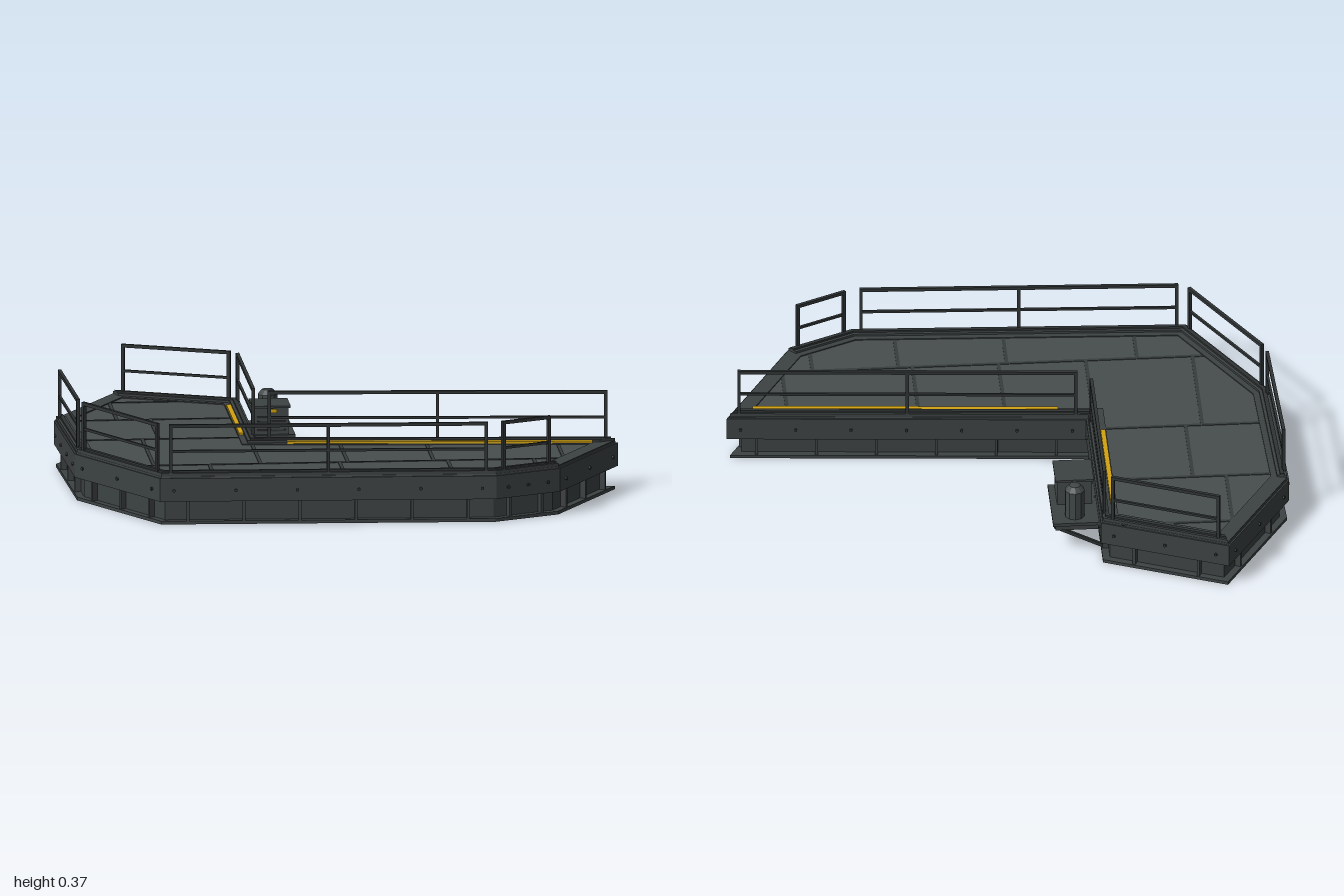
import * as THREE from 'three';

const mat = (name, color) => {
  const m = new THREE.MeshStandardMaterial({ color });
  m.name = name;
  return m;
};

export function createModel() {
  const model = new THREE.Group();
  model.name = 'workPlatform';
  const deckGrey = mat('deckGrey', 0x484d4e);
  const frameGrey = mat('frameGrey', 0x3d4243);
  const railGrey = mat('railGrey', 0x303435);
  const seamGrey = mat('seamGrey', 0x363b3b);
  const unitGrey = mat('unitGrey', 0x424849);
  const yellow = mat('safetyYellow', 0xd2a312);

  // Plan outline as [x, z]
  const outline = [[-0.745, -0.783], [-0.297, -0.592], [-0.297, 0.113], [0.992, 0.216], [0.742, 0.66],
    [0.502, 0.773], [-0.706, 0.714], [-0.972, 0.25], [-0.994, -0.35]];
  const N = outline.length;
  const unit = (a, b) => {
    const l = Math.hypot(b[0] - a[0], b[1] - a[1]);
    return [(b[0] - a[0]) / l, (b[1] - a[1]) / l, l];
  };

  // Outline moved inwards by d with mitred corners
  const inset = d => outline.map((p, i) => {
    const u = unit(outline[(i + N - 1) % N], p), v = unit(p, outline[(i + 1) % N]);
    const k = d / (1 + u[0] * v[0] + u[1] * v[1]);
    return [p[0] - (u[1] + v[1]) * k, p[1] + (u[0] + v[0]) * k];
  });

  const add = (name, geo, material, parent = model) => {
    const mesh = new THREE.Mesh(geo, material);
    mesh.name = name;
    parent.add(mesh);
    return mesh;
  };
  const group = name => {
    const g = new THREE.Group();
    g.name = name;
    model.add(g);
    return g;
  };

  // Upright prism over a plan polygon; the hole winds opposite to the rim
  const prism = (name, pts, y0, y1, material, hole, parent) => {
    const vec = list => list.map(p => new THREE.Vector2(p[0], -p[1]));
    const shape = new THREE.Shape(vec(pts).reverse());
    if (hole) shape.holes.push(new THREE.Path(vec(hole)));
    const geo = new THREE.ExtrudeGeometry(shape, { depth: y1 - y0, bevelEnabled: false });
    geo.rotateX(-Math.PI / 2).translate(0, y0, 0);
    return add(name, geo, material, parent);
  };

  // Straight bar between two plan points
  const bar = (name, a, b, width, y0, y1, material, parent) => {
    const [ux, uz, l] = unit(a, b);
    const m = add(name, new THREE.BoxGeometry(l, y1 - y0, width), material, parent);
    m.position.set((a[0] + b[0]) / 2, (y0 + y1) / 2, (a[1] + b[1]) / 2);
    m.rotation.y = Math.atan2(-uz, ux);
    return m;
  };
  const box = (name, x0, x1, y0, y1, z0, z1, material, parent) =>
    bar(name, [x0, (z0 + z1) / 2], [x1, (z0 + z1) / 2], z1 - z0, y0, y1, material, parent);

  // Perimeter I-beam, fascia slab and deck
  prism('bottomFlange', inset(0.008), 0, 0.012, frameGrey, inset(0.07));
  prism('perimeterWeb', inset(0.034), 0.012, 0.085, frameGrey, inset(0.046));
  prism('fasciaSlab', outline, 0.085, 0.17, frameGrey);
  prism('deckPlate', inset(0.006), 0.17, 0.176, deckGrey);
  prism('deckBorder', inset(0.008), 0.176, 0.18, frameGrey, inset(0.065));

  // Web stiffeners and fascia bolts
  const stiffeners = group('webStiffeners'), bolts = group('fasciaBolts');
  outline.forEach((p, i) => {
    const q = outline[(i + 1) % N], [ux, uz, l] = unit(p, q);
    const at = (t, d) => [p[0] + ux * t - uz * d, p[1] + uz * t + ux * d];
    const n = Math.max(2, Math.round(l / 0.2));
    for (let k = 0; k < n; k++) {
      const t = (k + 0.5) * l / n;
      bar('stiffener', at(t, 0.012), at(t, 0.036), 0.01, 0.012, 0.085, frameGrey, stiffeners);
    }
    const m = Math.max(2, Math.round(l / 0.23));
    for (let k = 0; k <= m; k++) {
      const c = at(0.05 + k * (l - 0.1) / m, 0);
      const bolt = add('bolt', new THREE.CylinderGeometry(0.006, 0.006, 0.012, 6), railGrey, bolts);
      bolt.rotation.set(Math.PI / 2, Math.atan2(uz, -ux), 0, 'YXZ');
      bolt.position.set(c[0], 0.125, c[1]);
    }
  });

  // Floor beams under the deck
  const beams = group('floorBeams');
  [[[-0.7, 0.51], [0.76, 0.49]], [[-0.92, 0.18], [-0.34, 0.18]],
    [[-0.94, -0.1], [-0.35, -0.1]]].forEach(([a, b]) => {
    bar('beamWeb', a, b, 0.012, 0.055, 0.085, frameGrey, beams);
    bar('beamFlange', a, b, 0.045, 0.045, 0.055, frameGrey, beams);
  });

  // Deck panel seams as x0, z0, x1, z1
  const seams = group('deckSeams');
  [[-0.77, -0.62, -0.37, -0.62], [-0.77, -0.62, -0.77, -0.31], [-0.925, -0.31, -0.36, -0.31],
    [-0.65, -0.31, -0.65, 0.04], [-0.92, 0.04, -0.36, 0.04], [-0.71, 0.04, -0.71, 0.51],
    [-0.325, 0.17, -0.325, 0.51], [-0.76, 0.51, 0.75, 0.51], [-0.01, 0.2, -0.01, 0.51],
    [0.3, 0.23, 0.3, 0.51], [0.77, 0.27, 0.77, 0.51], [-0.51, 0.51, -0.51, 0.66],
    [-0.04, 0.51, -0.04, 0.68], [0.35, 0.51, 0.35, 0.7], [0.66, 0.51, 0.66, 0.63]].forEach(s =>
    bar('seam', [s[0], s[1]], [s[2], s[3]], 0.013, 0.176, 0.178, seamGrey, seams));

  // Yellow edge markings just inside the kerbs
  bar('edgeMarking', [-0.35, -0.5], [-0.35, 0.015], 0.017, 0.18, 0.188, yellow);
  bar('edgeMarking', [-0.2, 0.174], [0.895, 0.262], 0.017, 0.18, 0.188, yellow);

  // Kerbs and guard rails; two edges stay open for access
  const k0 = inset(0.008), k1 = inset(0.043), u0 = inset(0.017), u1 = inset(0.032), line = inset(0.016);
  const kerbs = group('kerbs'), rails = group('guardRails');
  [0, 1, 2, 4, 5, 6, 7].forEach(i => {
    const j = (i + 1) % N;
    prism('kerbBase', [k0[i], k0[j], k1[j], k1[i]], 0.176, 0.188, frameGrey, null, kerbs);
    prism('kerbLip', [u0[i], u0[j], u1[j], u1[i]], 0.188, 0.195, railGrey, null, kerbs);
    const [ux, uz, l] = unit(line[i], line[j]);
    const at = t => [line[i][0] + ux * t, line[i][1] + uz * t];
    const t0 = i === 2 ? 0.053 : 0.032, t1 = l - [0.03, 0.053, 0.02, 0, 0.035, 0.03, 0.03, 0.035][i];
    bar('topRail', at(t0 - 0.006), at(t1 + 0.006), 0.012, 0.353, 0.365, railGrey, rails);
    bar('midRail', at(t0), at(t1), 0.009, 0.262, 0.271, railGrey, rails);
    const spans = t1 - t0 > 0.8 ? 2 : 1;
    for (let k = 0; k <= spans; k++) {
      const t = t0 + (t1 - t0) * k / spans;
      bar('railPost', at(t - 0.006), at(t + 0.006), 0.012, 0.18, 0.355, railGrey, rails);
    }
  });

  // Side shelf with diagonal braces
  const shelf = group('equipmentShelf');
  box('shelfPlate', -0.3, -0.131, 0.113, 0.125, -0.514, -0.244, frameGrey, shelf);
  box('shelfFrame', -0.3, -0.14, 0.092, 0.113, -0.505, -0.253, frameGrey, shelf);
  [-0.258, -0.492].forEach(z => {
    const brace = add('brace', new THREE.BoxGeometry(0.012, 0.215, 0.012), railGrey, shelf);
    brace.position.set(-0.235, 0.053, z);
    brace.rotation.z = -Math.atan2(0.18, 0.09);
  });

  // Power cabinet with lid, louvres and label
  const cabinet = group('powerCabinet');
  box('cabinetBody', -0.28, -0.155, 0.125, 0.222, -0.383, -0.256, unitGrey, cabinet);
  box('cabinetLid', -0.287, -0.148, 0.222, 0.23, -0.39, -0.25, frameGrey, cabinet);
  for (let k = 0; k < 4; k++) {
    const y = 0.137 + k * 0.016;
    box('louvre', -0.27, -0.165, y, y + 0.006, -0.257, -0.251, railGrey, cabinet);
  }
  box('label', -0.234, -0.198, 0.204, 0.218, -0.257, -0.249, yellow, cabinet);

  // Capped tank beside the cabinet, with a connecting pipe
  const tank = group('tank');
  const profile = [[0, 0], [0.036, 0], [0.036, 0.108], [0.02, 0.126], [0, 0.128]];
  const body = add('tankBody', new THREE.LatheGeometry(
    profile.map(p => new THREE.Vector2(p[0], p[1])), 10).toNonIndexed(), unitGrey, tank);
  body.geometry.computeVertexNormals();
  body.position.set(-0.213, 0.125, -0.456);
  bar('pipe', [-0.213, -0.43], [-0.213, -0.38], 0.012, 0.203, 0.215, railGrey, tank);

  return model;
}
